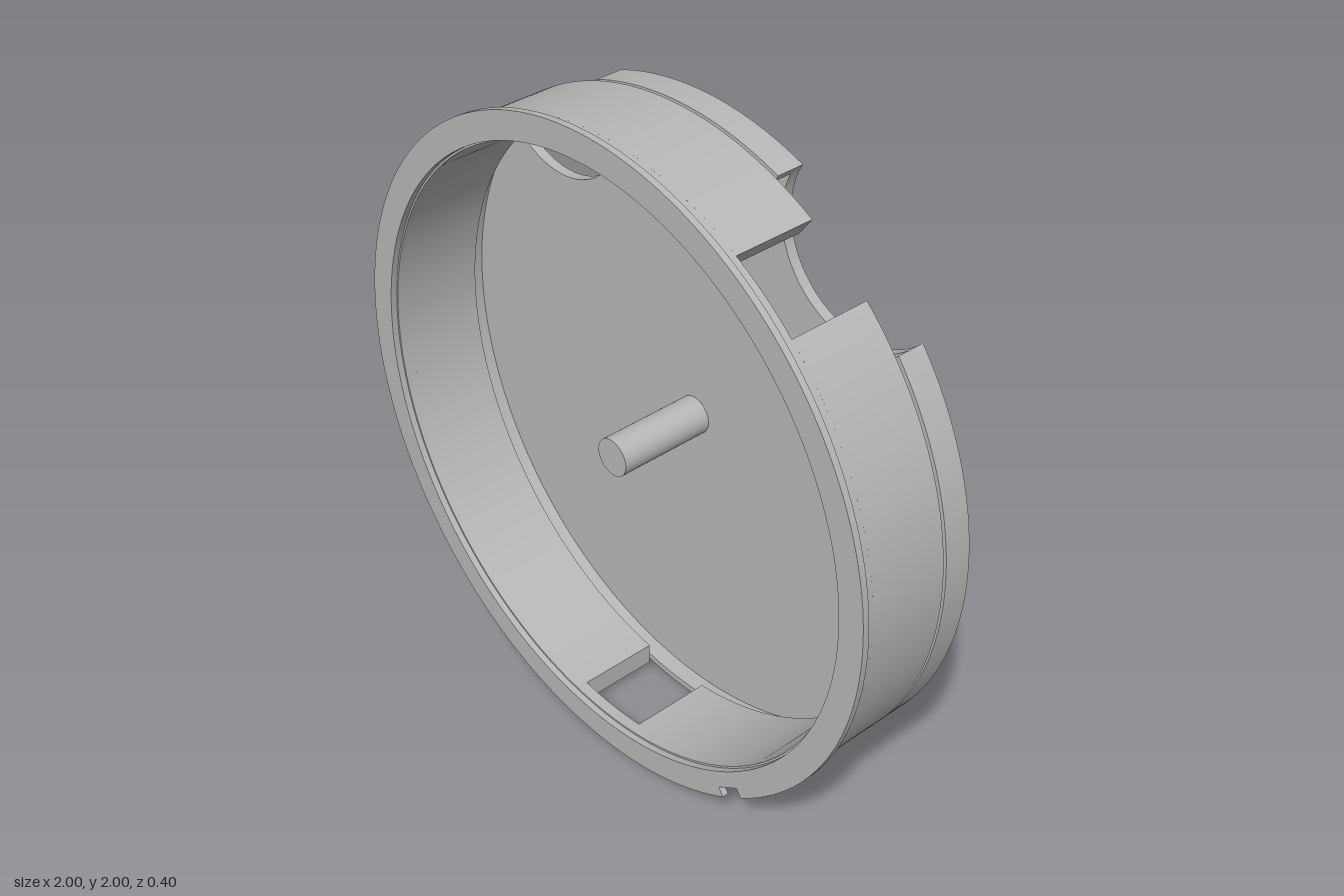
import * as THREE from 'three';
import { toCreasedNormals } from 'three/addons/utils/BufferGeometryUtils.js';

const TAU = Math.PI * 2;
const grey = new THREE.MeshStandardMaterial({ color: 0xb8b8b8 });
grey.name = 'plain grey';

// Extrude a shape between two depths, smooth around its curves
function slab(name, shape, z0, z1) {
  const geo = new THREE.ExtrudeGeometry(shape, { depth: z1 - z0, bevelEnabled: false, curveSegments: 96 });
  geo.translate(0, 0, z0);
  const mesh = new THREE.Mesh(toCreasedNormals(geo, 0.4), grey);
  mesh.name = name;
  return mesh;
}

function ring(outer, inner) {
  const s = new THREE.Shape().absarc(0, 0, outer, 0, TAU, false);
  s.holes.push(new THREE.Path().absarc(0, 0, inner, 0, TAU, true));
  return s;
}

// Part of a ring between two cuts; half(r) is the half angle of a cut at radius r
function band(outer, inner, a0, a1, half) {
  const s = new THREE.Shape();
  s.absarc(0, 0, outer, a0 + half(outer), a1 - half(outer), false);
  s.absarc(0, 0, inner, a1 - half(inner), a0 + half(inner), true);
  s.closePath();
  return s;
}

export function createModel() {
  const model = new THREE.Group();
  model.name = 'roundCase';
  const body = new THREE.Group();
  body.name = 'ringBody';
  const cap = new THREE.Group();
  cap.name = 'backCap';
  model.add(body, cap);

  // Front flange with a small key notch in its edge
  const key = -0.965, keyHalf = 0.042, keyFloor = 0.968;
  const flange = new THREE.Shape();
  const k = Math.asin(keyHalf);
  flange.absarc(0, 0, 1, key + k, key + TAU - k, false);
  for (const side of [-keyHalf, keyHalf]) {
    flange.lineTo(
      keyFloor * Math.cos(key) - side * Math.sin(key),
      keyFloor * Math.sin(key) + side * Math.cos(key));
  }
  flange.closePath();
  flange.holes.push(new THREE.Path().absarc(0, 0, 0.918, 0, TAU, true));
  body.add(slab('frontFlange', flange, 0.18, 0.2));

  // Ring wall: whole at the front, with two slots open to the rear
  const slotHalf = r => Math.asin(0.118 / r);
  const slotA = 0.95, slotB = -Math.PI / 2;
  body.add(slab('frontWall', ring(0.98, 0.912), 0.145, 0.18));
  body.add(slab('shortRearWall', band(0.98, 0.912, slotB, slotA, slotHalf), -0.105, 0.145));
  body.add(slab('longRearWall', band(0.98, 0.912, slotA, slotB + TAU, slotHalf), -0.105, 0.145));

  // Cap floor with two round bites
  const R = 0.98, bite = 0.265, cx = 0.57, cy = 0.79;
  const D = Math.hypot(cx, cy), right = Math.atan2(cy, cx), left = Math.PI - right;
  const biteHalf = r => Math.acos((r * r + D * D - bite * bite) / (2 * r * D));
  const d = biteHalf(R);
  const u = Math.atan2(-R * Math.sin(d), R * Math.cos(d) - D);
  const floor = new THREE.Shape();
  floor.absarc(0, 0, R, left + d, right + TAU - d, false);
  floor.absarc(cx, cy, bite, right + u, right - u, true);
  floor.absarc(0, 0, R, right + d, left - d, false);
  floor.absarc(-cx, cy, bite, left + u, left - u, true);
  cap.add(slab('capFloor', floor, -0.2, -0.168));

  // Thin cap rim, interrupted by the bites
  cap.add(slab('topRim', band(R, 0.96, right, left, biteHalf), -0.168, -0.115));
  cap.add(slab('lowerRim', band(R, 0.96, left, right + TAU, biteHalf), -0.168, -0.115));

  // Central pin
  const pin = new THREE.Mesh(new THREE.CylinderGeometry(0.057, 0.057, 0.305, 48), grey);
  pin.name = 'centrePin';
  pin.rotation.x = Math.PI / 2;
  pin.position.z = -0.0175;
  cap.add(pin);

  model.position.y = 1;
  const root = new THREE.Group();
  root.add(model);
  return root;
}
